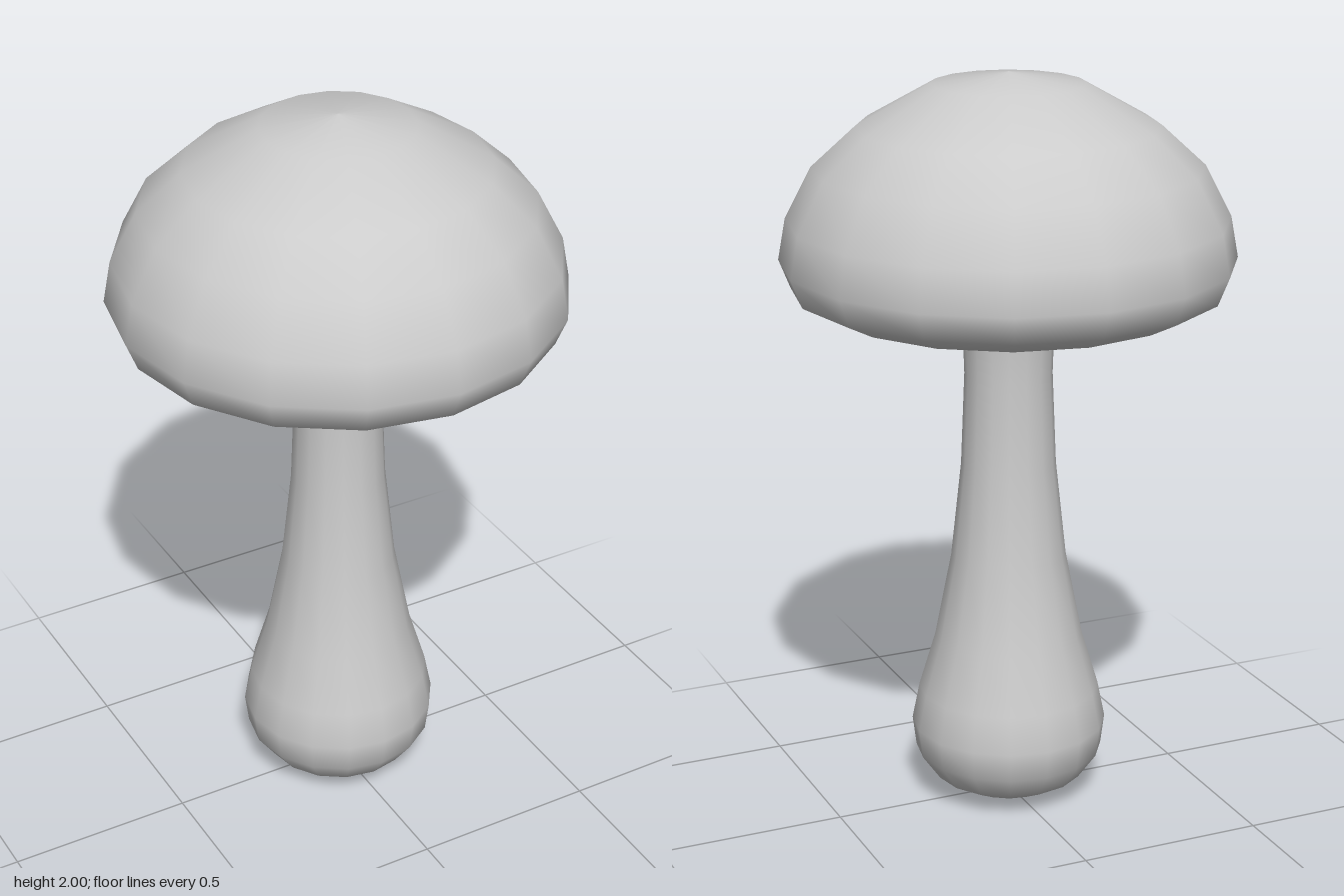
import * as THREE from 'three';

const SIDES = 16;

// Turn a [radius, height] profile, listed from the bottom up the outside
function turned(name, profile, material) {
  const points = profile.map(([r, y]) => new THREE.Vector2(r, y));
  const mesh = new THREE.Mesh(new THREE.LatheGeometry(points, SIDES), material);
  mesh.name = name;
  return mesh;
}

export function createModel() {
  const group = new THREE.Group();
  group.name = 'mushroom';
  const material = new THREE.MeshStandardMaterial({ color: 0xcccccc });

  // Stem: rounded bulb, narrow neck, slight flare under the cap
  group.add(turned('stem', [
    [0, 0], [0.12, 0.015], [0.205, 0.06], [0.255, 0.13], [0.265, 0.21],
    [0.245, 0.31], [0.2, 0.46], [0.155, 0.69], [0.127, 0.95],
    [0.117, 1.2], [0.123, 1.39], [0.14, 1.49],
  ], material));

  // Cap: hollow underside, rolled lip, domed top
  group.add(turned('cap', [
    [0.13, 1.49], [0.36, 1.45], [0.42, 1.405], [0.49, 1.395], [0.57, 1.435],
    [0.6, 1.51], [0.58, 1.62], [0.51, 1.755], [0.395, 1.86], [0.2, 1.97], [0, 2],
  ], material));

  return group;
}
